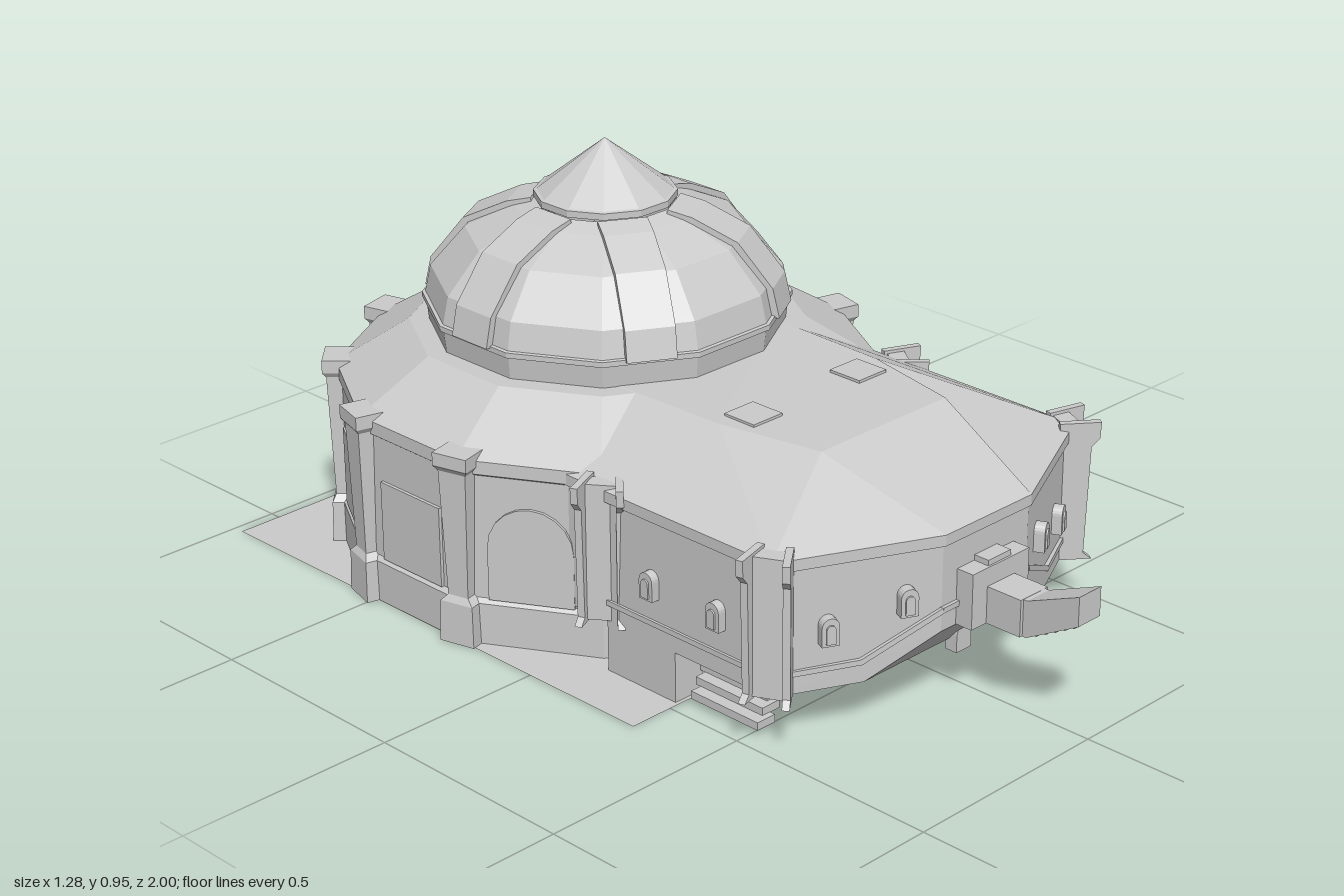
import * as THREE from 'three';

const CX = -0.015, DZ = -0.375; // axis of symmetry and drum centre

export function createModel() {
  const root = new THREE.Group();
  const mat = new THREE.MeshStandardMaterial({ color: 0xcccccc, flatShading: true, side: THREE.DoubleSide });

  const add = (name, geo, parent = root, x = 0, y = 0, z = 0, ry = 0) => {
    const m = new THREE.Mesh(geo, mat);
    m.name = name;
    m.position.set(x, y, z);
    m.rotation.y = ry;
    parent.add(m);
    return m;
  };
  const group = (name, x, y, z, ry = 0) => {
    const g = new THREE.Group();
    g.name = name;
    g.position.set(x, y, z);
    g.rotation.y = ry;
    root.add(g);
    return g;
  };
  const box = (w, h, d) => new THREE.BoxGeometry(w, h, d);
  const lathe = (pts) => new THREE.LatheGeometry(pts.map(p => new THREE.Vector2(...p)), 12, Math.PI / 12);

  // Loft through mirrored rings; each ring lists [x, y, z] for the +x half, back to front
  const loft = (rings) => {
    const full = rings.map(r => [...r, ...[...r].reverse().map(([x, y, z]) => [-x, y, z])]);
    const n = full[0].length, index = [];
    for (let k = 0; k < full.length - 1; k++) {
      for (let i = 0; i < n; i++) {
        const a = k * n + i, b = k * n + (i + 1) % n;
        index.push(a, a + n, b, b, a + n, b + n);
      }
    }
    const t = (full.length - 1) * n;
    for (let i = 1; i < n - 1; i++) index.push(0, i, i + 1, t, t + i + 1, t + i);
    const g = new THREE.BufferGeometry();
    g.setAttribute('position', new THREE.Float32BufferAttribute(full.flat(2), 3));
    g.setIndex(index);
    g.computeVertexNormals();
    return g;
  };

  // Square strip between two points
  const beam = (name, a, b, h = 0.012) => {
    const p = new THREE.Vector3(...a), q = new THREE.Vector3(...b);
    const m = add(name, box(h, h, p.distanceTo(q) + h * 0.5));
    m.position.copy(p).add(q).multiplyScalar(0.5);
    m.lookAt(q);
  };

  // Flat slab with straight sides and an optional round top, facing +z
  const archGeo = (w, h, d, round) => {
    const s = new THREE.Shape();
    s.moveTo(-w / 2, 0);
    s.lineTo(w / 2, 0);
    if (round) s.absarc(0, h - w / 2, w / 2, 0, Math.PI, false);
    else { s.lineTo(w / 2, h); s.lineTo(-w / 2, h); }
    s.closePath();
    return new THREE.ExtrudeGeometry(s, { depth: d, bevelEnabled: false, curveSegments: 5 });
  };

  // Ground plate
  const ground = add('groundPlate', new THREE.PlaneGeometry(1.245, 1.285), root, 0.017, 0, -0.333);
  ground.rotation.x = -Math.PI / 2;

  // Twelve-sided drum with plinth, cornice and sloping roof
  add('drum', lathe([[0, 0], [0.61, 0], [0.61, 0.095], [0.6, 0.105], [0.6, 0.39], [0.607, 0.395],
    [0.607, 0.425], [0.44, 0.528], [0.38, 0.528]]), root, CX, 0, DZ);

  // Dome shell and pointed cap
  add('dome', lathe([[0.395, 0.525], [0.402, 0.59], [0.388, 0.655], [0.31, 0.745], [0.2, 0.795], [0.155, 0.81]]), root, CX, 0, DZ);
  add('domeCap', lathe([[0.13, 0.81], [0.158, 0.815], [0.158, 0.83], [0.15, 0.832], [0.001, 0.948]]), root, CX, 0, DZ);

  // Raised ribs between the dome panels
  const rib = new THREE.Shape([[0.36, 0.585], [0.405, 0.588], [0.39, 0.655], [0.312, 0.754], [0.21, 0.802],
    [0.155, 0.815], [0.15, 0.79], [0.28, 0.73], [0.35, 0.65]].map(p => new THREE.Vector2(...p)));
  const ribGeo = new THREE.ExtrudeGeometry(rib, { depth: 0.11, bevelEnabled: false }).translate(0, 0, -0.055);
  const collar = lathe([[0.39, 0.575], [0.409, 0.58], [0.409, 0.592], [0.39, 0.596]]);
  add('domeCollar', collar, root, CX, 0, DZ);
  for (let i = 0; i < 6; i++) add('domeRib', ribGeo, root, CX, 0, DZ, i * Math.PI / 3);

  // Buttresses at the drum corners and panels on its faces
  const buttressGeo = loft([[0, 0.085, 0.028], [0.095, 0.08, 0.026], [0.11, 0.05, 0.018], [0.4, 0.068, 0.026],
    [0.412, 0.084, 0.034], [0.442, 0.084, 0.034]].map(([y, w, d]) => [[w / 2, y, -0.03], [w / 2, y, d]]));
  for (let i = 0; i < 12; i++) {
    const a = (i + 0.5) * Math.PI / 6, f = i * Math.PI / 6;
    if (Math.cos(a) < 0.7) add('drumButtress', buttressGeo, root, CX + 0.6 * Math.sin(a), 0, DZ + 0.6 * Math.cos(a), a);
    if (i > 1 && i < 11) {
      const round = i % 3 === 1;
      add('drumPanel', archGeo(0.19, round ? 0.22 : 0.185, 0.012, round), root,
        CX + 0.575 * Math.sin(f), 0.105, DZ + 0.575 * Math.cos(f), f);
    }
  }

  // Front hall: raked keel, walls, eave and hipped roof
  const plan = (y, dx = 0) => [[0.46 + dx, y, -0.1], [0.46 + dx, y, 0.57 + dx], [0.132, y, 0.73 + dx]];
  const keel = [[0.46, 0.115, -0.1], [0.46, 0.115, 0.57], [0.28, 0.115, 0.657]];
  add('hall', loft([keel, plan(0.2), plan(0.39), plan(0.393, 0.007), plan(0.418, 0.007),
    [[0.25, 0.529, -0.1], [0.24, 0.529, 0.21], [0.19, 0.527, 0.45]]]), root, CX);

  // Moulding that steps up over the front
  for (const s of [-1, 1]) {
    const path = [[0.46, 0.162, 0.1], [0.46, 0.162, 0.57], [0.29, 0.165, 0.656], [0.132, 0.25, 0.732], [0, 0.25, 0.732]]
      .map(([x, y, z]) => [CX + s * x, y, z]);
    for (let i = 0; i < path.length - 1; i++) beam('hallMoulding', path[i], path[i + 1]);
  }

  // Roof hatches
  for (const s of [-1, 1]) add('roofHatch', box(0.085, 0.008, 0.085), root, CX + s * 0.16, 0.53, 0.23);

  // Arched windows on the hall: [x, y, z, turn]
  const winGeo = archGeo(0.038, 0.062, 0.03, true), slope = Math.atan2(0.16, 0.328);
  const paneGeo = archGeo(0.02, 0.042, 0.034, true);
  for (const s of [-1, 1]) {
    for (const [x, y, z, a] of [[0.35, 0.22, 0.615, slope], [0.2, 0.257, 0.69, slope],
      [0.45, 0.22, 0.425, Math.PI / 2], [0.45, 0.22, 0.235, Math.PI / 2]]) {
      const g = group('hallWindow', CX + s * x, y, z, s * a);
      add('windowFrame', winGeo, g);
      add('windowPane', paneGeo, g, 0, 0.006, 0);
    }
  }
  add('keelWindow', archGeo(0.045, 0.06, 0.03, true), root, CX, 0.09, 0.65);

  // Paired fins on the hall corners and where the hall meets the drum
  const finGeo = loft([[0.115, 0.05], [0.13, 0.032], [0.38, 0.04], [0.4, 0.058], [0.437, 0.06]]
    .map(([y, d]) => [[0.008, y, -0.03], [0.008, y, d]]));
  for (const s of [-1, 1]) {
    for (const [z, a] of [[0.565, 1.1], [0.085, 0.95]]) {
      const g = group('hallButtress', CX + s * 0.455, 0, z, s * a);
      for (const t of [-1, 1]) add('buttressFin', finGeo, g, t * 0.036, 0, 0, t * 0.2);
      add('buttressCore', box(0.07, 0.31, 0.04), g, 0, 0.275, 0);
    }
  }

  // Undercroft below the hall with stairs on both sides
  const under = (y, x) => [[x, y, 0.1], [x, y, 0.515]];
  add('undercroft', loft([under(0.015, 0.16), under(0.125, 0.3)]), root, CX);
  for (const s of [-1, 1]) {
    for (let i = 0; i < 6; i++) {
      add('stairStep', box(0.05, 0.018, 0.19), root, CX + s * (0.42 - i * 0.028), 0.024 + i * 0.017, 0.425 - i * 0.014);
    }
    add('sidePlinth', box(0.08, 0.12, 0.2), root, CX + s * 0.42, 0.06, 0.2);
  }

  // Front projecting block and raised spout
  add('spoutMount', box(0.175, 0.125, 0.05), root, CX, 0.263, 0.747);
  add('spoutMountTop', box(0.07, 0.02, 0.04), root, CX, 0.328, 0.747);
  add('spoutBase', box(0.084, 0.083, 0.1), root, CX, 0.242, 0.81);
  const arm = new THREE.Shape([[0.85, 0.2], [0.87, 0.2], [1, 0.272], [1, 0.338], [0.87, 0.283], [0.85, 0.283]]
    .map(p => new THREE.Vector2(...p)));
  const armGeo = new THREE.ExtrudeGeometry(arm, { depth: 0.068, bevelEnabled: false }).translate(0, 0, -0.034);
  add('spoutArm', armGeo, root, CX, 0, 0, -Math.PI / 2);
  for (let i = 0; i < 5; i++) add('spoutSlat', box(0.064, 0.006, 0.014), root, CX, 0.214 + i * 0.013, 0.888 + i * 0.0235);

  return root;
}
